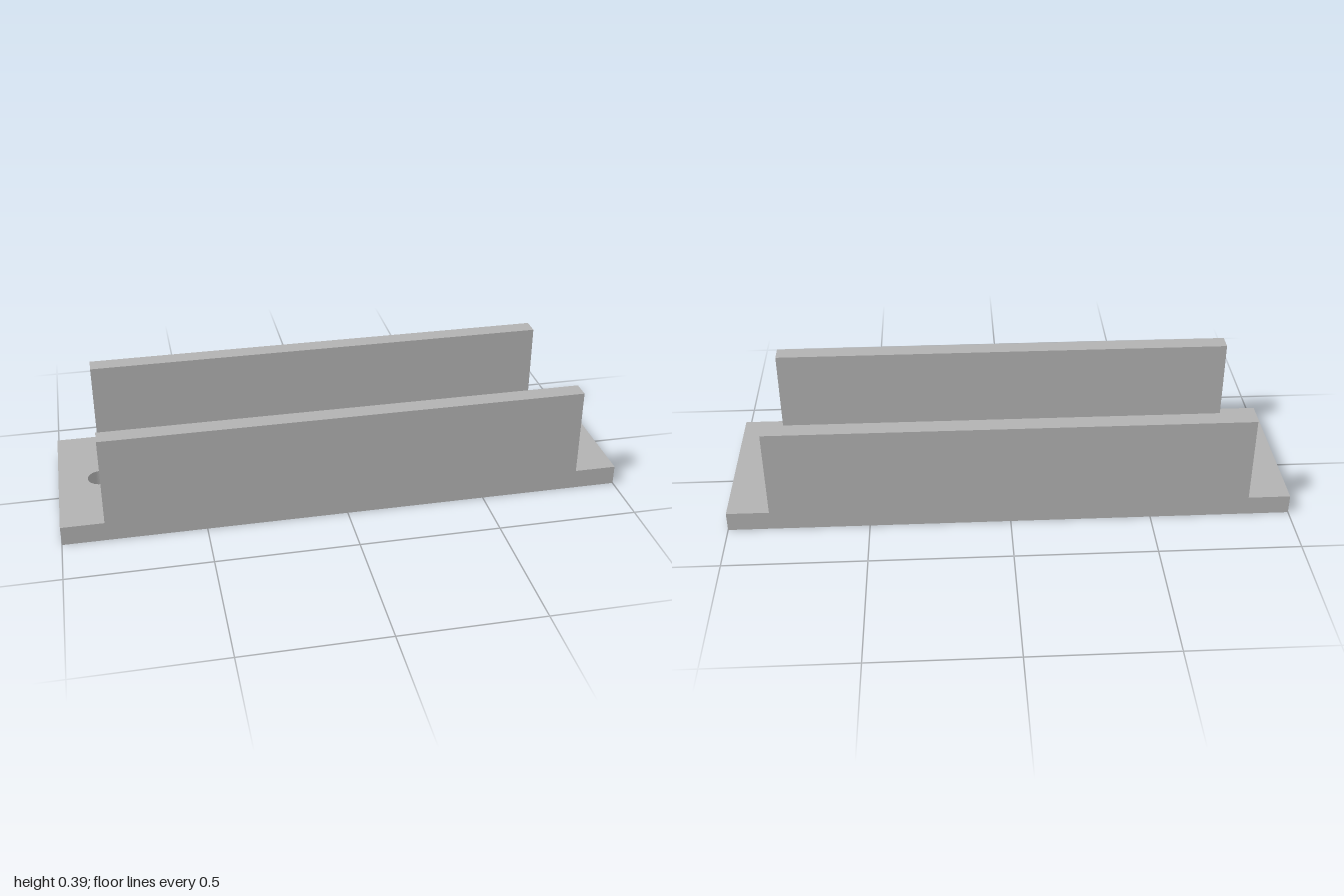
import * as THREE from 'three';

const LENGTH = 2, DEPTH = 0.6, BASE_H = 0.07;
const WALL_LENGTH = 1.7, WALL_T = 0.064, TOP = 0.39;
const HOLE_X = 0.85, HOLE_R = 0.046;

export function createModel() {
  const model = new THREE.Group();
  model.name = 'channelBracket';

  const grey = new THREE.MeshStandardMaterial({ color: 0xb2b2b2 });
  grey.name = 'plain grey';

  // Base plate with a round screw hole near each end
  const plate = new THREE.Shape();
  plate.moveTo(-LENGTH / 2, -DEPTH / 2);
  plate.lineTo(LENGTH / 2, -DEPTH / 2);
  plate.lineTo(LENGTH / 2, DEPTH / 2);
  plate.lineTo(-LENGTH / 2, DEPTH / 2);
  plate.closePath();
  for (const side of [-1, 1]) {
    const hole = new THREE.Path();
    hole.absarc(side * HOLE_X, 0, HOLE_R, 0, Math.PI * 2, true);
    plate.holes.push(hole);
  }
  const plateGeometry = new THREE.ExtrudeGeometry(plate, {
    depth: BASE_H, bevelEnabled: false, curveSegments: 32,
  });
  plateGeometry.rotateX(-Math.PI / 2);
  const base = new THREE.Mesh(plateGeometry, grey);
  base.name = 'basePlate';
  model.add(base);

  // Upright walls flush with the front and back edges
  const wallHeight = TOP - BASE_H;
  const wallGeometry = new THREE.BoxGeometry(WALL_LENGTH, wallHeight, WALL_T);
  for (const side of [-1, 1]) {
    const wall = new THREE.Mesh(wallGeometry, grey);
    wall.name = side > 0 ? 'frontWall' : 'backWall';
    wall.position.set(0, BASE_H + wallHeight / 2, side * (DEPTH - WALL_T) / 2);
    model.add(wall);
  }

  return model;
}
